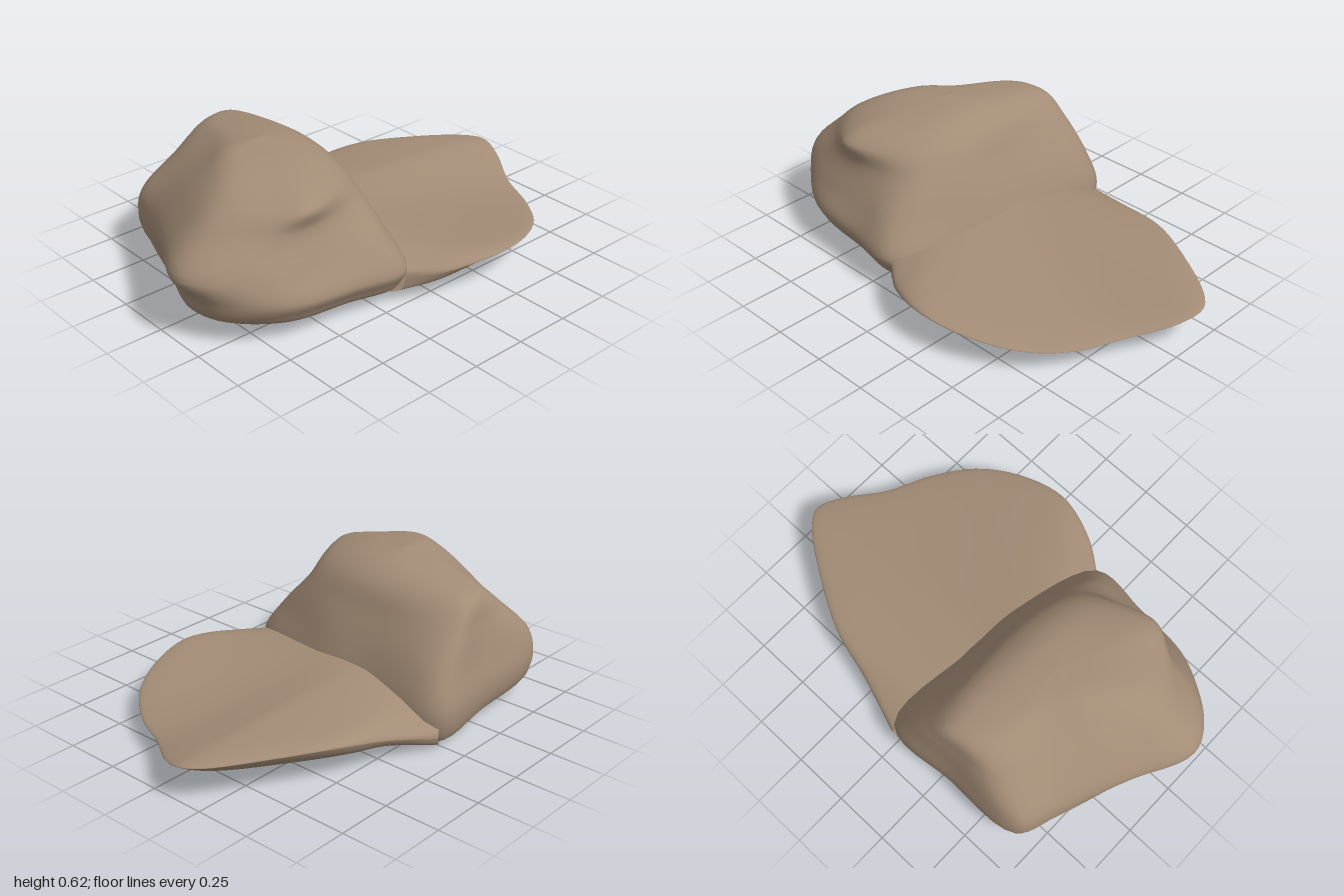
import * as THREE from 'three';

const material = new THREE.MeshStandardMaterial({ color: 0xa38c76, side: THREE.DoubleSide });
const V = (x, y, z) => new THREE.Vector3(x, y, z);
const curve = (pts, closed = false) => new THREE.CatmullRomCurve3(pts, closed, 'centripetal');
const { lerp, smoothstep } = THREE.MathUtils;

// Lift of the underside towards the front
const frontLift = (z) => 0.45 * Math.max(0, z - 0.37);

// Indexed smooth surface from a point function over (u, v); v may wrap round
function surface(name, nu, nv, wrap, at) {
  const pos = [], idx = [], cols = wrap ? nv : nv + 1;
  for (let i = 0; i <= nu; i++)
    for (let j = 0; j < cols; j++) pos.push(...at(i / nu, j / nv).toArray());
  for (let i = 0; i < nu; i++)
    for (let j = 0; j < nv; j++) {
      const k = (j + 1) % cols;
      const a = i * cols + j, b = i * cols + k, c = a + cols, d = b + cols;
      idx.push(a, c, b, b, c, d);
    }
  const g = new THREE.BufferGeometry();
  g.setAttribute('position', new THREE.Float32BufferAttribute(pos, 3));
  g.setIndex(idx);
  g.computeVertexNormals();
  const mesh = new THREE.Mesh(g, material);
  mesh.name = name;
  return mesh;
}

// Crown outlines as [x, z], starting at the back corner by the brim
const widest = [[0.03, -0.63], [0.03, -0.2], [0.01, 0.1], [-0.13, 0.49], [-0.4, 0.48], [-0.7, 0.435],
  [-0.9, 0.28], [-0.95, 0.12], [-0.86, -0.14], [-0.75, -0.45], [-0.67, -0.62], [-0.3, -0.64]];
const waist = [[-0.02, -0.605], [-0.02, -0.2], [-0.04, 0.1], [-0.18, 0.42], [-0.4, 0.42], [-0.7, 0.39],
  [-0.92, 0.27], [-1, 0.12], [-0.88, -0.14], [-0.74, -0.42], [-0.66, -0.6], [-0.3, -0.615]];
const shoulder = [[-0.12, -0.58], [-0.09, -0.2], [-0.11, 0.1], [-0.2, 0.29], [-0.4, 0.35], [-0.58, 0.35],
  [-0.73, 0.29], [-0.87, 0.12], [-0.8, -0.1], [-0.65, -0.35], [-0.52, -0.55], [-0.32, -0.585]];
const rim = [[-0.22, -0.54], [-0.15, -0.2], [-0.17, 0.05], [-0.25, 0.23], [-0.42, 0.34], [-0.55, 0.365],
  [-0.64, 0.28], [-0.75, 0.1], [-0.68, -0.1], [-0.53, -0.3], [-0.42, -0.5], [-0.32, -0.55]];

function crown() {
  const ring = (outline, s, cx, cz, yAt) => outline.map(([x, z]) => {
    const px = cx + (x - cx) * s, pz = cz + (z - cz) * s;
    return V(px, yAt(px, pz), pz);
  });
  const floor = (x, z) => 0.01 - 0.1 * x + frontLift(z);
  const rings = [
    ring(widest, 0, -0.35, -0.2, floor),
    ring(widest, 0.5, -0.35, -0.2, floor),
    ring(widest, 0.92, -0.35, -0.2, floor),
    ring(widest, 0.97, -0.35, -0.2, (x, z) => floor(x, z) + 0.03),
    ring(widest, 1, 0, 0, (x) => 0.15 - 0.05 * x),
    ring(waist, 1, 0, 0, () => 0.29),
    ring(shoulder, 1, 0, 0, () => 0.43),
    ring(rim, 1, 0, 0, (x, z) => 0.54 - 0.07 * Math.max(0, z)),
    ring(rim, 0.6, -0.4, -0.1, (x, z) => 0.608 - 0.08 * Math.abs(z + 0.1)),
    ring(rim, 0, -0.4, -0.1, () => 0.625),
  ];
  // Smooth each column upward, then smooth around each level
  const columns = widest.map((_, i) => curve(rings.map((r) => r[i])));
  const levels = new Map();
  return surface('crown', 54, 72, true, (u, v) => {
    if (!levels.has(u)) levels.set(u, curve(columns.map((c) => c.getPoint(u)), true));
    return u === 0 || u === 1 ? columns[0].getPoint(u) : levels.get(u).getPoint(v);
  });
}

function brim() {
  // Outer edge from the back corner round the tip to the front corner
  const edge = curve([V(0.04, 0.06, -0.645), V(0.28, 0.12, -0.565), V(0.5, 0.158, -0.505), V(0.72, 0.165, -0.39),
    V(0.95, 0.16, -0.23), V(1, 0.155, -0.15), V(0.97, 0.13, -0.04), V(0.85, 0.095, 0.15), V(0.76, 0.09, 0.34),
    V(0.62, 0.11, 0.51), V(0.42, 0.14, 0.62), V(0.21, 0.16, 0.655), V(0, 0.135, 0.59), V(-0.14, 0.115, 0.49)]);
  // Seams against the crown, above and below
  const top = curve([V(0, 0.09, -0.62), V(0, 0.16, -0.45), V(0.01, 0.205, -0.2), V(-0.02, 0.195, 0.1),
    V(-0.08, 0.175, 0.32), V(-0.16, 0.14, 0.47)]);
  const bottom = curve([V(-0.04, 0.012, -0.6), V(-0.06, 0.012, -0.2), V(-0.07, 0.015, 0.1), V(-0.12, 0.018, 0.32),
    V(-0.18, 0.025, 0.45)]);
  return surface('brim', 80, 56, false, (u, v) => {
    const outer = edge.getPointAt(u), upper = v <= 0.5;
    const t = Math.sin((upper ? v : 1 - v) * Math.PI);   // 0 at the crown, 1 at the edge
    const inner = (upper ? top : bottom).getPointAt(u);
    const p = inner.clone().lerp(outer, t);
    if (upper) {
      p.y = lerp(inner.y, outer.y, 1 - (1 - t) ** 1.3) + 0.022 * Math.sqrt(Math.max(0, 1 - t ** 8));
    } else {
      const under = lerp(inner.y, 0.075, smoothstep(p.x, -0.05, 0.33)) + 0.7 * frontLift(p.z);
      p.y = lerp(Math.min(under, outer.y), outer.y, t ** 9);
    }
    return p;
  });
}

export function createModel() {
  const cap = new THREE.Group();
  cap.name = 'cap';
  cap.add(crown(), brim());
  return cap;
}
